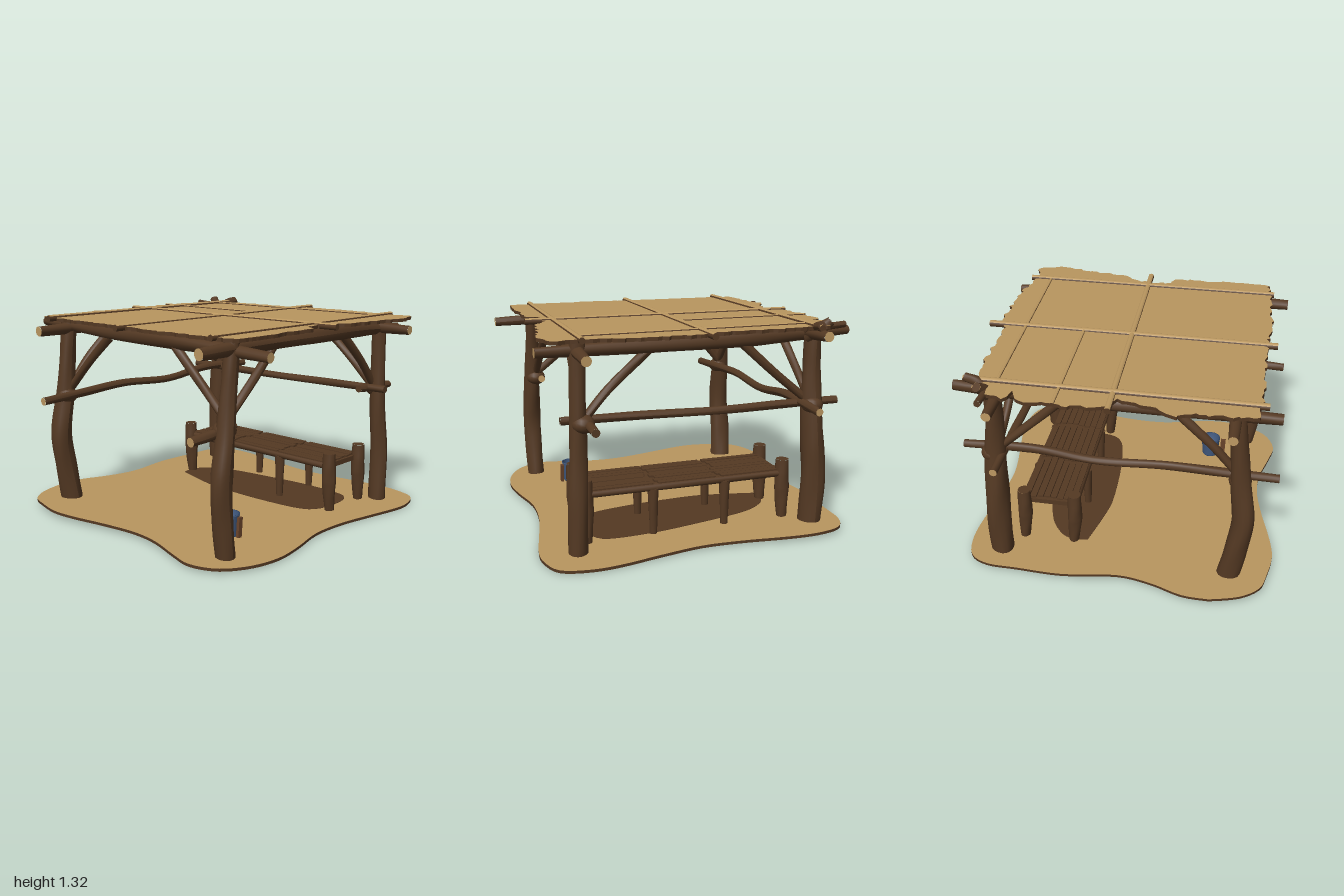
import * as THREE from 'three';

const mat = (name, color, side = THREE.FrontSide) => {
  const m = new THREE.MeshStandardMaterial({ color, side });
  m.name = name;
  return m;
};

export function createModel() {
  const root = new THREE.Group();
  const wood = mat('darkWood', 0x543923);
  const cut = mat('cutWood', 0xbd9862);
  const sand = mat('sandAndCanvas', 0xb9965f);
  const blue = mat('blueMetal', 0x40597f, THREE.DoubleSide);
  const rust = mat('rustWood', 0x68432a);

  let seed = 7;
  const rand = () => (seed = (seed * 16807) % 2147483647) / 2147483647;

  const add = (name, geo, material, parent = root) => {
    const m = new THREE.Mesh(geo, material);
    m.name = name;
    parent.add(m);
    return m;
  };

  // Bent log through [x, y, z, radius] stops, with flat discs at the start and end
  const log = (name, stops, capStart = cut, capEnd = capStart, bump = 0.05) => {
    const g = new THREE.Group();
    g.name = name;
    const curve = new THREE.CatmullRomCurve3(stops.map(s => new THREE.Vector3(s[0], s[1], s[2])));
    const n = stops.length * 6, sides = 14;
    const geo = new THREE.TubeGeometry(curve, n, 1, sides);
    const pos = geo.attributes.position, v = new THREE.Vector3();
    const radius = t => {
      const f = t * (stops.length - 1), i = Math.min(Math.floor(f), stops.length - 2);
      return THREE.MathUtils.lerp(stops[i][3], stops[i + 1][3], f - i);
    };
    const phase = rand() * 6;
    for (let i = 0; i <= n; i++) {
      const c = curve.getPointAt(i / n);
      for (let j = 0; j <= sides; j++) {
        const k = i * (sides + 1) + j, a = (j % sides) / sides * Math.PI * 2;
        const r = radius(i / n) * (1 + bump * Math.sin(3 * a + phase + i * 0.35));
        v.fromBufferAttribute(pos, k).sub(c).multiplyScalar(r).add(c);
        pos.setXYZ(k, v.x, v.y, v.z);
      }
    }
    geo.computeVertexNormals();
    add(name + 'Body', geo, wood, g);
    for (const t of [0, 1]) {
      const cap = add(name + 'End', new THREE.CircleGeometry(radius(t) * 0.99, sides), t ? capEnd : capStart, g);
      const dir = curve.getTangentAt(t).multiplyScalar(t ? 1 : -1);
      cap.quaternion.setFromUnitVectors(new THREE.Vector3(0, 0, 1), dir);
      cap.position.copy(curve.getPointAt(t)).addScaledVector(dir, 0.001);
    }
    root.add(g);
  };

  // Flat sheet from an x/z outline: dark body with a coloured upper face
  const sheet = (name, points, depth, topMat, height) => {
    const g = new THREE.Group();
    g.name = name;
    const shape = new THREE.Shape(points.map(p => new THREE.Vector2(p.x, -p.y)));
    const body = new THREE.ExtrudeGeometry(shape, { depth, bevelEnabled: false }).translate(0, 0, -depth);
    const top = new THREE.ShapeGeometry(shape).translate(0, 0, 0.0015);
    for (const [part, geo, m] of [['Underside', body, wood], ['Top', top, topMat]]) {
      geo.rotateX(-Math.PI / 2);
      const p = geo.attributes.position;
      for (let i = 0; i < p.count; i++) p.setY(i, p.getY(i) + height(p.getX(i), p.getZ(i)));
      add(name + part, geo, m, g);
    }
    root.add(g);
  };
  const smooth = (pts, n) => new THREE.SplineCurve([...pts, pts[0]].map(p => new THREE.Vector2(...p))).getPoints(n);
  const groundY = (x, z) => 0.036 - 0.012 * z - 0.006 * x;

  // Sandy ground patch
  const groundLine = [[-0.62, -1], [-0.45, -0.99], [-0.25, -0.92], [-0.03, -0.885], [0.3, -0.93], [0.6, -0.92],
    [0.8, -0.91], [0.92, -0.84], [0.96, -0.68], [0.95, -0.48], [0.91, -0.2], [0.895, 0.05], [0.93, 0.3],
    [0.98, 0.58], [0.98, 0.76], [0.93, 0.91], [0.8, 0.97], [0.66, 0.975], [0.4, 0.925], [0.15, 0.88],
    [-0.1, 0.875], [-0.35, 0.93], [-0.55, 0.955], [-0.74, 0.92], [-0.9, 0.82], [-0.97, 0.66], [-0.94, 0.5],
    [-0.88, 0.28], [-0.87, 0.08], [-0.91, -0.15], [-0.97, -0.4], [-0.99, -0.57], [-0.96, -0.74], [-0.92, -0.86],
    [-0.8, -0.95]];
  sheet('ground', smooth(groundLine, 140), 0.016, sand, groundY);

  // Dark soil below the bench
  const soil = [[0.21, -0.59], [0.14, -0.3], [0.12, -0.1], [0.14, 0.3], [0.21, 0.58], [0.42, 0.64], [0.6, 0.58],
    [0.62, 0.3], [0.58, 0], [0.5, -0.38], [0.4, -0.55], [0.3, -0.6]];
  sheet('darkSoil', smooth(soil, 60), 0.004, wood, (x, z) => groundY(x, z) + 0.004);

  // Corner posts
  log('frontLeftPost', [[-0.755, 0.03, 0.735, 0.058], [-0.785, 0.24, 0.74, 0.06], [-0.805, 0.45, 0.745, 0.062],
    [-0.765, 0.72, 0.74, 0.053], [-0.735, 0.98, 0.735, 0.046], [-0.7, 1.25, 0.73, 0.045]], wood);
  log('frontRightPost', [[0.745, 0.02, 0.76, 0.058], [0.75, 0.35, 0.755, 0.057], [0.735, 0.6, 0.745, 0.052],
    [0.73, 0.85, 0.74, 0.047], [0.72, 1.25, 0.735, 0.045]], wood);
  log('backRightPost', [[0.74, 0.038, -0.735, 0.073], [0.74, 0.35, -0.745, 0.076], [0.735, 0.55, -0.735, 0.074],
    [0.725, 0.8, -0.72, 0.066], [0.71, 1.05, -0.72, 0.055], [0.71, 1.26, -0.725, 0.05]], wood);
  log('backLeftPost', [[-0.72, 0.042, -0.735, 0.072], [-0.755, 0.25, -0.74, 0.07], [-0.785, 0.48, -0.74, 0.068],
    [-0.75, 0.75, -0.73, 0.06], [-0.725, 1, -0.725, 0.052], [-0.7, 1.25, -0.72, 0.05]], wood);
  // Forked tip of the back right post
  log('postFork', [[0.71, 1.2, -0.72, 0.045], [0.74, 1.26, -0.77, 0.038], [0.76, 1.3, -0.81, 0.028]], wood);
  log('postFork', [[0.71, 1.2, -0.7, 0.04], [0.79, 1.27, -0.7, 0.032], [0.87, 1.29, -0.69, 0.025]], wood);
  log('roofStub', [[0.72, 1.27, -0.93, 0.02], [0.72, 1.25, -0.66, 0.022]], wood);

  // Top frame beams
  log('frontBeam', [[-0.96, 1.2, 0.735, 0.034], [-0.5, 1.21, 0.735, 0.046], [0, 1.21, 0.735, 0.05],
    [0.5, 1.205, 0.735, 0.046], [0.945, 1.18, 0.735, 0.03]]);
  log('backBeam', [[-0.95, 1.2, -0.705, 0.032], [-0.4, 1.205, -0.7, 0.046], [0.3, 1.21, -0.7, 0.048],
    [0.94, 1.235, -0.7, 0.031]]);
  log('leftBeam', [[-0.69, 1.18, 0.99, 0.029], [-0.69, 1.2, 0.4, 0.046], [-0.69, 1.21, -0.3, 0.048],
    [-0.69, 1.225, -0.99, 0.028]]);
  log('rightBeam', [[0.717, 1.2, 0.97, 0.029], [0.705, 1.205, 0.4, 0.048], [0.685, 1.21, -0.3, 0.05],
    [0.657, 1.225, -0.985, 0.028]]);

  // Middle rails along the back and right, short cross logs at the front
  log('backRail', [[-0.97, 0.755, -0.66, 0.025], [-0.65, 0.77, -0.67, 0.028], [-0.3, 0.785, -0.675, 0.025],
    [0.12, 0.765, -0.67, 0.025], [0.5, 0.805, -0.665, 0.028], [0.94, 0.79, -0.66, 0.024]]);
  log('rightRail', [[0.68, 0.8, 0.83, 0.024], [0.68, 0.795, 0.4, 0.026], [0.68, 0.785, -0.1, 0.024],
    [0.68, 0.79, -0.5, 0.027], [0.68, 0.79, -0.92, 0.024]], wood, cut);
  log('frontLeftCrossLog', [[-0.98, 0.73, 0.69, 0.027], [-0.82, 0.74, 0.69, 0.029], [-0.64, 0.765, 0.69, 0.024]]);
  log('frontRightCrossLog', [[0.58, 0.8, 0.69, 0.024], [0.75, 0.79, 0.69, 0.028], [0.94, 0.785, 0.69, 0.024]], wood);

  // Lashed joints and diagonal braces at each corner
  for (const sx of [-1, 1]) for (const sz of [-1, 1]) {
    const joint = add('joint', new THREE.SphereGeometry(1, 16, 10), wood);
    joint.scale.set(0.068, 0.055, 0.068);
    joint.position.set(sx * 0.745, sx < 0 ? 0.76 : 0.79, sz * 0.715);
    // Braces of opposite frames sit slightly apart
    const dx = sz * 0.022, dz = sx * 0.022;
    log('braceAlongX', [[sx * 0.72, 0.81, sz * 0.71, 0.025], [sx * 0.55 + dx, 0.985, sz * 0.71, 0.026],
      [sx * 0.34 + dx, 1.18, sz * 0.7, 0.028]], wood);
    log('braceAlongZ', [[sx * 0.72, 0.8, sz * 0.71, 0.025], [sx * 0.7, 0.97, sz * 0.53 + dz, 0.026],
      [sx * 0.69, 1.18, sz * 0.29 + dz, 0.028]], wood);
  }

  // Ragged canvas roof
  const edge = [[-0.82, -0.84], [-0.44, -0.85], [-0.37, -0.89], [-0.25, -0.83], [-0.03, -0.77], [0, -0.86],
    [0.2, -0.88], [0.5, -0.87], [0.55, -0.78], [0.6, -0.86], [0.79, -0.8], [0.82, -0.5], [0.83, -0.05],
    [0.88, 0.08], [0.87, 0.45], [0.83, 0.7], [0.84, 0.89], [0.7, 0.95], [0.45, 0.9], [0.2, 0.86], [0.1, 0.79],
    [-0.13, 0.79], [-0.15, 0.86], [-0.5, 0.87], [-0.82, 0.86], [-0.84, 0.6], [-0.86, 0.3], [-0.83, 0],
    [-0.84, -0.4]];
  const ragged = [];
  edge.forEach(([x, z], i) => {
    const [x2, z2] = edge[(i + 1) % edge.length];
    const steps = Math.max(1, Math.round(Math.hypot(x2 - x, z2 - z) / 0.03));
    for (let k = 0; k < steps; k++) {
      const t = k / steps;
      ragged.push(new THREE.Vector2(x + (x2 - x) * t + (rand() - 0.5) * 0.028, z + (z2 - z) * t + (rand() - 0.5) * 0.028));
    }
  });
  sheet('canvasRoof', ragged, 0.02, sand, () => 1.277);

  // Roof battens: dark poles with a narrow sun-bleached strip on top
  const batten = (x1, z1, x2, z2, r, y = 1.277) => {
    const len = Math.hypot(x2 - x1, z2 - z1), g = new THREE.Group();
    g.name = 'roofBatten';
    add('battenPole', new THREE.CylinderGeometry(r, r, len, 16), wood, g);
    add('battenTop', new THREE.CylinderGeometry(r + 0.002, r + 0.002, len, 8, 1, true, -Math.PI * 0.28, Math.PI * 0.56), sand, g);
    // Lay the pole down so its bleached side (+z) points up
    g.children.forEach(c => c.geometry.rotateX(-Math.PI / 2));
    g.rotation.y = Math.atan2(x1 - x2, z1 - z2);
    g.position.set((x1 + x2) / 2, y, (z1 + z2) / 2);
    root.add(g);
  };
  batten(-0.87, -0.71, 0.88, -0.69, 0.02, 1.275);
  batten(-0.9, -0.01, 0.94, 0.005, 0.02, 1.272);
  batten(-0.86, 0.72, 0.86, 0.735, 0.018, 1.275);
  batten(0, -0.89, 0.02, 0.9, 0.019, 1.272);
  batten(0.31, -0.88, 0.32, -0.01, 0.01);
  batten(0.68, -0.7, 0.72, 0.75, 0.01);

  // Bench: tall corner legs, short middle legs, rails and planks
  for (const x of [0.29, 0.62]) {
    for (const z of [-0.595, 0.68])
      log('benchCornerLeg', [[x + 0.01, 0.03, z, 0.031], [x, 0.17, z, 0.039], [x - 0.005, 0.3, z, 0.046],
        [x - 0.005, 0.39, z, 0.045], [x - 0.005, 0.415, z, 0.04]], wood, wood, 0.03);
    for (const z of [-0.2, 0.265])
      log('benchMiddleLeg', [[x, 0.03, z, 0.022], [x, 0.18, z, 0.028], [x, 0.32, z, 0.034]], wood, wood, 0.03);
    log('benchRail', [[x, 0.325, -0.58, 0.023], [x, 0.325, 0.02, 0.022], [x, 0.325, 0.68, 0.023]], wood);
  }
  const seat = new THREE.Group();
  seat.name = 'benchSeat';
  root.add(seat);
  add('seatBase', new THREE.BoxGeometry(0.35, 0.032, 1.26), wood, seat).position.set(0.455, 0.326, 0.045);
  for (let i = 0; i < 8; i++) for (let k = 0; k < 3; k++) {
    const plank = add('seatSlat', new THREE.BoxGeometry(0.039, 0.012, 0.37 + rand() * 0.05), wood, seat);
    plank.position.set(0.3 + i * 0.044, 0.344 + rand() * 0.005, -0.37 + k * 0.415 + (rand() - 0.5) * 0.03);
  }

  // Bucket with scrap boards beside it
  const bucketLine = [[0, 0], [0.054, 0], [0.058, 0.008], [0.066, 0.127], [0.069, 0.129], [0.069, 0.137], [0.063, 0.137],
    [0.053, 0.015], [0, 0.015]].map(p => new THREE.Vector2(...p));
  const bucket = add('bucket', new THREE.LatheGeometry(bucketLine, 24), blue);
  bucket.position.set(-0.5, 0.037, 0.52);
  for (const [x, z, w, h, tilt] of [[-0.592, 0.53, 0.035, 0.12, 0.03], [-0.485, 0.593, 0.03, 0.125, -0.08]]) {
    const board = add('scrapBoard', new THREE.BoxGeometry(w, h, 0.02), rust);
    board.position.set(x, 0.036 + h / 2, z);
    board.rotation.z = tilt;
  }
  return root;
}
